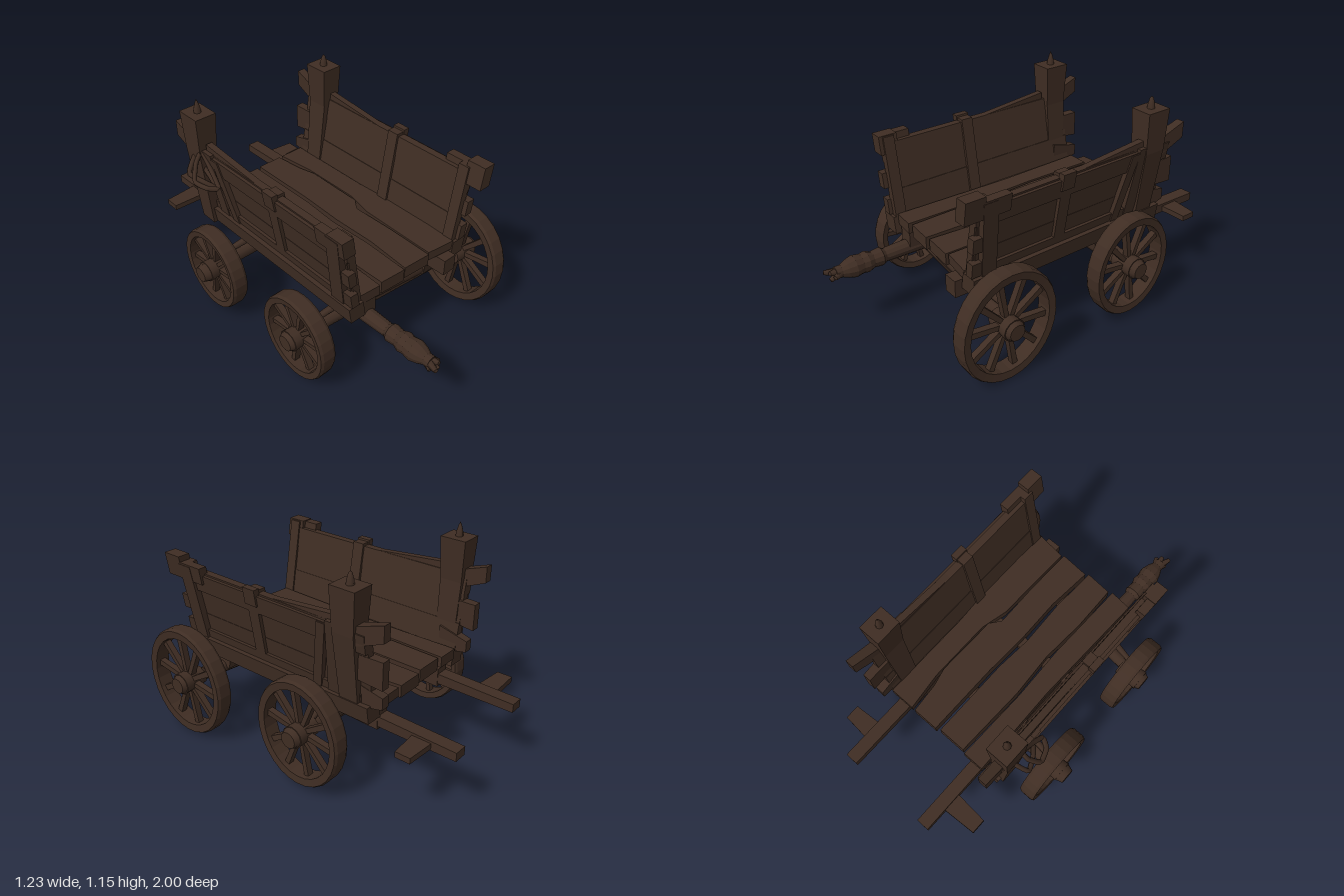
import * as THREE from 'three';

export function createModel() {
  const root = new THREE.Group();
  root.name = 'brokenCart';
  const wood = new THREE.MeshStandardMaterial({ color: 0x3f2d23 });
  wood.name = 'darkWood';

  const add = (name, geo, parent = root) => {
    const m = new THREE.Mesh(geo, wood);
    m.name = name;
    parent.add(m);
    return m;
  };

  // Tapered, sheared timber: end centres a and b along one axis, with a full [x, y, z] section at each end
  const bar = (name, axis, a, sa, b, sb = sa, parent = root) => {
    if (a[axis] > b[axis]) [a, sa, b, sb] = [b, sb, a, sa];
    const g = new THREE.BoxGeometry(1, 1, 1);
    const p = g.attributes.position;
    for (let i = 0; i < p.count; i++) {
      const v = [p.getX(i), p.getY(i), p.getZ(i)];
      const t = v[axis] + 0.5;
      const q = v.map((c, k) => a[k] + (b[k] - a[k]) * t +
        (k === axis ? 0 : c * (sa[k] + (sb[k] - sa[k]) * t)));
      p.setXYZ(i, ...q);
    }
    g.computeVertexNormals();
    return add(name, g, parent);
  };

  const flat = (g) => {
    const n = g.toNonIndexed();
    n.computeVertexNormals();
    return n;
  };

  // Round rod between two points
  const rod = (name, a, b, ra, rb = ra, parent = root, sides = 10) => {
    const A = new THREE.Vector3(...a), B = new THREE.Vector3(...b);
    const d = B.clone().sub(A);
    const m = add(name, new THREE.CylinderGeometry(rb, ra, d.length(), sides), parent);
    m.position.copy(A).add(B).multiplyScalar(0.5);
    m.quaternion.setFromUnitVectors(new THREE.Vector3(0, 1, 0), d.normalize());
    return m;
  };

  // Floor planks with worn edges, outlined in x and z
  const plank = (pts, y0, y1) => {
    const shape = new THREE.Shape(pts.map(([x, z]) => new THREE.Vector2(x, -z)));
    const g = new THREE.ExtrudeGeometry(shape, { depth: y1 - y0, bevelEnabled: false });
    g.rotateX(-Math.PI / 2);
    g.translate(0, y0, 0);
    add('floorPlank', g);
  };
  plank([[-0.3, 0.55], [-0.18, 0.56], [-0.17, 0.1], [-0.18, -0.2], [-0.172, -0.61], [-0.29, -0.61], [-0.28, -0.1]], 0.472, 0.53);
  plank([[-0.16, 0.55], [-0.015, 0.56], [-0.005, 0.3], [-0.015, 0.05], [0, -0.15], [0, -0.6], [-0.155, -0.6], [-0.165, -0.2], [-0.15, 0.05], [-0.165, 0.3]], 0.46, 0.53);
  plank([[0, 0.55], [0.16, 0.56], [0.165, 0.3], [0.16, 0.05], [0.205, -0.01], [0.21, -0.35], [0.185, -0.45], [0.17, -0.61], [0.025, -0.61], [0.025, -0.2], [0.015, 0.05], [0.02, 0.3]], 0.46, 0.525);
  plank([[0.17, 0.55], [0.33, 0.57], [0.345, 0.2], [0.33, -0.1], [0.33, -0.61], [0.19, -0.61], [0.215, -0.4], [0.215, -0.05], [0.18, 0.1]], 0.475, 0.525);
  bar('floorCrosspiece', 0, [-0.32, 0.465, 0.04], [0, 0.035, 0.06], [0.34, 0.465, 0.04]);

  // Chassis beams with thin rear tails and crossbar stubs
  for (const s of [1, -1]) {
    const x = s > 0 ? 0.27 : -0.235;
    bar('chassisBeam', 2, [x, 0.39, -0.58], [0.075, 0.1, 0], [x, 0.425, s > 0 ? 0.61 : 0.55], [0.08, 0.09, 0]);
    bar('rearTail', 2, [x, 0.38, -1], [0.07, 0.045, 0], [x, 0.385, -0.5], [0.07, 0.055, 0]);
    bar('crossbarStub', 0, [x - s * 0.02, 0.38, -0.82], [0, 0.03, 0.11], [s * 0.45, 0.375, -0.82], [0, 0.03, 0.08]);
  }

  // Pulling pole with a bound grip and splintered tip
  const grip = [[0, 0], [0.042, 0], [0.046, 0.8], [0.038, 1.13], [0.036, 1.18], [0.048, 1.2], [0.043, 1.25], [0.055, 1.28],
    [0.05, 1.31], [0.057, 1.35], [0.046, 1.39], [0.032, 1.42], [0.032, 1.45], [0, 1.45]];
  const pole = add('pullingPole', flat(new THREE.LatheGeometry(grip.map(p => new THREE.Vector2(...p)), 12)));
  pole.rotation.x = Math.PI / 2;
  pole.position.set(-0.237, 0.365, -0.5);
  for (let i = 0; i < 5; i++) {
    const a = i * 1.257;
    rod('poleSplinter', [-0.237, 0.365, 0.91], [-0.237 + 0.035 * Math.cos(a), 0.36 + 0.02 * Math.sin(a), 0.965 + 0.017 * (i % 3)], 0.026, 0.012, root, 5);
  }

  // Axles, blocks and braces
  rod('frontAxle', [-0.58, 0.285, 0.355], [0.58, 0.315, 0.475], 0.035);
  rod('frontAxleCore', [-0.25, 0.338, 0.39], [0.3, 0.338, 0.446], 0.046);
  rod('rearAxle', [-0.59, 0.29, -0.315], [0.58, 0.315, -0.295], 0.04);
  for (const s of [1, -1]) for (const z of [s > 0 ? 0.44 : 0.385, -0.305]) {
    const x = s > 0 ? 0.27 : -0.235;
    bar('axleBlock', 1, [x, 0.31, z], [0.1, 0, 0.09], [x, 0.41, z], [0.09, 0, 0.12]);
    rod('axleBrace', [x, 0.4, z + 0.03], [s * 0.46, 0.35, z], 0.024, 0.014, root, 6);
  }

  // Wheels: [x, y, z, vertical radius, horizontal radius, hub end]
  const wheels = [[0.522, 0.302, 0.478, 0.3, 0.268, 0.61], [0.515, 0.315, -0.298, 0.283, 0.245, 0.61],
    [-0.512, 0.278, 0.355, 0.237, 0.217, 0.6], [-0.515, 0.28, -0.315, 0.237, 0.217, 0.617]];
  for (const [x, y, z, ry, rz, end] of wheels) {
    const s = Math.sign(x);
    const w = new THREE.Group();
    w.name = 'wheel';
    w.position.set(x, y, z);
    w.rotation.z = s * -0.018;
    root.add(w);
    const disc = new THREE.Group();
    disc.name = 'rimAndSpokes';
    disc.scale.set(1, ry, rz);
    w.add(disc);
    const section = [[0.83, -0.041], [0.97, -0.045], [1, -0.03], [1, 0.03], [0.97, 0.045], [0.83, 0.041], [0.83, -0.041]];
    const rim = new THREE.LatheGeometry(section.map(p => new THREE.Vector2(...p)), 28);
    add('rim', flat(rim), disc).rotation.z = Math.PI / 2;
    for (let i = 0; i < 10; i++) {
      const arm = new THREE.Group();
      arm.name = 'spoke';
      arm.rotation.x = (i + 0.3) * Math.PI / 5;
      disc.add(arm);
      bar('spokeBar', 1, [0, 0.1, 0], [0.035, 0, 0.085], [0, 0.86, 0], [0.032, 0, 0.11], arm);
    }
    rod('hub', [s * -0.07, 0, 0], [s * 0.065, 0, 0], 0.05, 0.058, w, 12);
    rod('hubCap', [s * 0.06, 0, 0], [s * (end - Math.abs(x)), 0, 0], 0.055, 0.042, w, 12);
  }

  // Leaning side walls
  for (const s of [1, -1]) {
    const side = new THREE.Group();
    side.name = s > 0 ? 'leftWall' : 'rightWall';
    root.add(side);
    const inner = (y) => (s > 0 ? 0.325 : 0.3) + 0.165 * (y - 0.5);
    // Slab between depths u0..u1 outward, heights y0..y1 and lengths z0..z1, with optional slant along z
    const slab = (name, u0, u1, y0, y1, z0, z1, slant = 0) => {
      const u = (u0 + u1) / 2, z = (z0 + z1) / 2, size = [u1 - u0, 0, z1 - z0];
      bar(name, 1, [s * (inner(y0) + u), y0, z], size, [s * (inner(y1) + u), y1, z + slant], size, side);
    };
    slab('sideSill', 0, 0.09, 0.425, 0.515, -0.6, 0.575);
    slab('sideBoard', 0.008, 0.048, 0.51, 0.65, -0.6, 0.55);
    slab('sideBoard', 0.011, 0.046, 0.65, 0.79, -0.6, 0.55);
    slab('sideBoard', 0.008, 0.048, 0.79, 0.895, -0.6, 0.56);
    slab('topRail', 0.045, 0.065, 0.79, 0.885, -0.6, 0.54);
    slab('lowerRail', 0.045, 0.065, 0.515, 0.56, -0.55, 0.53);
    slab('frontPost', 0.04, 0.08, 0.44, 0.92, 0.44, 0.52, 0.03);
    slab('frontInnerPost', 0, 0.04, 0.5, 0.93, 0.5, 0.56);
    slab('frontTopBlock', 0.01, 0.078, 0.84, s > 0 ? 0.96 : 0.935, s > 0 ? 0.54 : 0.48, s > 0 ? 0.645 : 0.58);
    slab('frontTopCap', 0.03, 0.078, 0.84, 0.93, 0.4, 0.56);
    slab('boardStub', 0.03, 0.075, 0.66, 0.74, 0.5, 0.585);
    slab('boardStub', 0.03, 0.075, 0.52, 0.6, 0.5, 0.58);
    slab('middlePost', -0.004, 0.065, 0.42, 0.91, 0.035, 0.1);
    slab('middleCap', 0.04, 0.075, 0.83, 0.92, 0.03, 0.105);
    slab('rearSlat', 0.045, 0.072, 0.46, 0.88, -0.31, -0.26, -0.08);
    slab('rearSlat', 0.045, 0.07, 0.5, 0.9, -0.43, -0.36, -0.03);
    // Top edge rising towards the rear post
    bar('risingTopBoard', 2, [s * (inner(0.87) + 0.03), 0.865, 0], [0.035, 0.05, 0],
      [s * (inner(0.9) + 0.03), 0.89, -0.45], [0.035, 0.085, 0], side);

    // Broken board ends behind the rear post: [height, tip height, root depth, tip depth, tip z]
    for (const [y, tip, h, h2, z] of [[0.85, 0.925, 0.1, 0.085, -0.7], [0.71, 0.7, 0.12, 0.14, -0.675], [0.55, 0.545, 0.13, 0.06, -0.66]]) {
      bar('brokenBoard', 2, [s * (inner(y) + 0.035), y, -0.5], [0.055, h, 0],
        [s * (inner(tip) + 0.03), tip, z], [0.045, h2, 0], side);
    }

    // Rear corner post with iron spike
    const x = s * (s > 0 ? 0.41 : 0.395), z = s > 0 ? -0.49 : -0.525;
    bar('rearPostFoot', 1, [s * 0.358, 0.42, z], [0.08, 0, 0.1], [x, 0.86, z], [0.1, 0, 0.12], side);
    bar('rearPostHead', 1, [x, 0.86, z], [0.1, 0, 0.12], [x, 1.08, z], [0.12, 0, 0.14], side);
    const spike = [[0.02, 0], [0.017, 0.025], [0.009, 0.055], [0, s > 0 ? 0.065 : 0.075]];
    add('spike', new THREE.LatheGeometry(spike.map(p => new THREE.Vector2(...p)), 8), side).position.set(x, 1.078, z);
  }

  // Torn strap loops hanging from the right rear post
  const loops = [
    [[-0.43, 0.89, -0.47], [-0.47, 0.84, -0.47], [-0.515, 0.765, -0.43], [-0.49, 0.75, -0.36], [-0.44, 0.74, -0.33], [-0.43, 0.81, -0.4]],
    [[-0.43, 0.85, -0.53], [-0.5, 0.775, -0.5], [-0.46, 0.74, -0.42], [-0.42, 0.71, -0.38], [-0.42, 0.78, -0.47]],
  ];
  for (const pts of loops) {
    const curve = new THREE.CatmullRomCurve3(pts.map(p => new THREE.Vector3(...p)), true, 'catmullrom', 0.2);
    add('strapLoop', new THREE.TubeGeometry(curve, 30, 0.013, 6, true));
  }
  return root;
}
